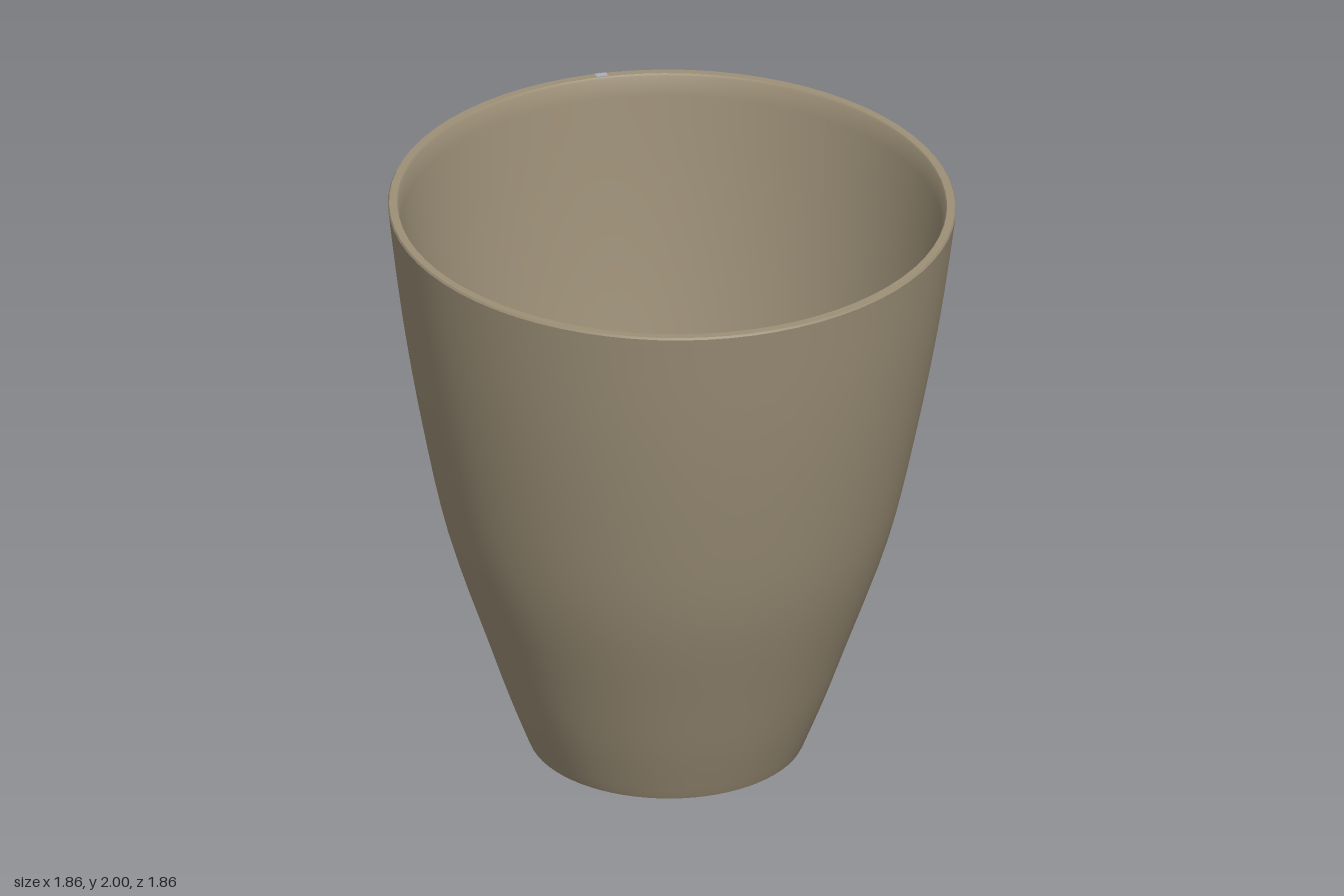
import * as THREE from 'three';
import { toCreasedNormals } from 'three/addons/utils/BufferGeometryUtils.js';

export function createModel() {
  const clay = new THREE.MeshStandardMaterial({ color: 0x9c8f77 });
  clay.name = 'clay';
  const grey = new THREE.MeshStandardMaterial({ color: 0xa9adb5 });
  grey.name = 'grey';

  const pot = new THREE.Group();
  pot.name = 'pot';
  const add = (name, geometry, material) => {
    const mesh = new THREE.Mesh(geometry, material);
    mesh.name = name;
    pot.add(mesh);
    return mesh;
  };
  const V = (x, y) => new THREE.Vector2(x, y);

  // Wall: smooth outer curve, thin rim, and inner curve in one closed turn
  const outer = new THREE.SplineCurve([
    V(0.458, 0.015), V(0.525, 0.19), V(0.594, 0.39), V(0.727, 0.79),
    V(0.815, 1.19), V(0.884, 1.59), V(0.932, 1.968),
  ]).getPoints(24);
  const inner = new THREE.SplineCurve([
    V(0.897, 1.968), V(0.845, 1.58), V(0.776, 1.18), V(0.687, 0.78),
    V(0.555, 0.39), V(0.488, 0.2), V(0.446, 0.09),
  ]).getPoints(24);
  const profile = [
    V(0.4, 0.055), V(0.405, 0.006), V(0.413, 0), V(0.443, 0), V(0.453, 0.004),
    ...outer, V(0.928, 1.975), V(0.902, 1.975), ...inner,
  ];
  add('wall', toCreasedNormals(new THREE.LatheGeometry(profile, 72), 0.6), clay);

  // Floor, raised above the foot ring, with three drain holes
  const disc = new THREE.Shape().absarc(0, 0, 0.447, 0, Math.PI * 2);
  for (const [x, z] of [[-0.3, -0.08], [0.21, -0.235], [0.09, 0.29]]) {
    disc.holes.push(new THREE.Path().absarc(x, z, 0.031, 0, Math.PI * 2, true));
  }
  const floor = new THREE.ExtrudeGeometry(disc, { depth: 0.04, bevelEnabled: false, curveSegments: 32 });
  floor.rotateX(Math.PI / 2).translate(0, 0.09, 0);
  add('floor', toCreasedNormals(floor, 0.6), clay);

  // Grey patch under the floor, outlined on axes turned to the diagonal
  const outline = [
    [-0.25, 0], [-0.22, -0.2], [-0.13, -0.27], [0, -0.25], [0.07, -0.27],
    [0.18, -0.24], [0.18, -0.13], [0.12, -0.08], [0.2, 0.02], [0.14, 0.1],
    [0.1, 0.18], [0.02, 0.25], [-0.22, 0.22],
  ].map(([u, v]) => V((-u - v) * Math.SQRT1_2, (-u + v) * Math.SQRT1_2));
  const patch = new THREE.ExtrudeGeometry(new THREE.Shape(outline), { depth: 0.004, bevelEnabled: false });
  patch.rotateX(Math.PI / 2).translate(0, 0.05, 0);
  add('undersidePatch', patch, grey);

  // Small grey chip on the rim
  const chip = add('rimChip', new THREE.BoxGeometry(0.04, 0.004, 0.022), grey);
  chip.position.set(-0.43, 1.975, -0.808);
  chip.rotation.y = 0.49;

  // The pot leans very slightly to the front and left
  pot.rotation.set(0.0115, 0, -0.0125);
  pot.position.set(-0.013, 0.008, -0.013);

  const model = new THREE.Group();
  model.name = 'plantPot';
  model.add(pot);
  return model;
}
